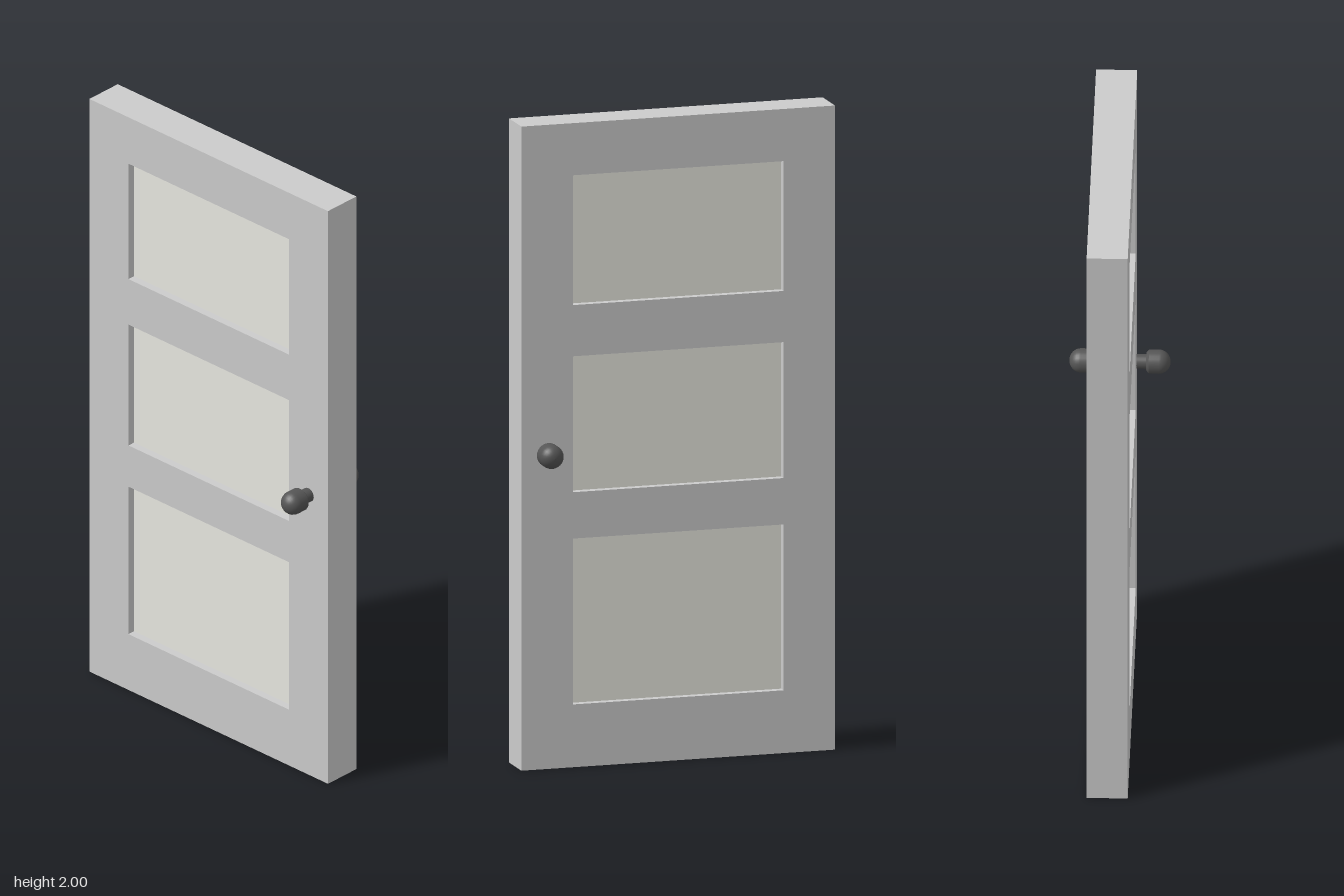
import * as THREE from 'three';

const DOOR_BACK = -0.05, DOOR_THICK = 0.125, RECESS = 0.025;
const PANEL_HALF = 0.336;
const PANELS = [[0.195, 0.71], [0.854, 1.276], [1.435, 1.838]]; // bottom, top

const material = (color) => new THREE.MeshStandardMaterial({ color });

function rectangle(PathType, x0, y0, x1, y1) {
  return new PathType([[x0, y0], [x1, y0], [x1, y1], [x0, y1]].map(p => new THREE.Vector2(...p)));
}

function addMesh(parent, name, geometry, mat) {
  const mesh = new THREE.Mesh(geometry, mat);
  mesh.name = name;
  parent.add(mesh);
  return mesh;
}

// Neck, chamfered collar and domed grip, turned about the x axis
function knobGeometry() {
  const profile = [[0, 0.04], [0.0225, 0.04], [0.0225, 0.08], [0.028, 0.08], [0.037, 0.088], [0.037, 0.119]];
  for (let i = 1; i <= 8; i++) {
    const a = (i / 8) * Math.PI / 2;
    profile.push([0.037 * Math.cos(a), 0.119 + 0.035 * Math.sin(a)]);
  }
  // Double the hard corners so the dome stays smooth and the edges sharp
  const points = [];
  profile.forEach(([r, h], i) => {
    const p = new THREE.Vector2(Math.max(r, 0), h);
    points.push(p);
    if (i > 0 && i < 5) points.push(p.clone());
  });
  return new THREE.LatheGeometry(points, 24).rotateZ(-Math.PI / 2);
}

export function createModel() {
  const door = new THREE.Group();
  door.name = 'door';
  const frameMat = material(0xcccccc), panelMat = material(0xe8e8e0), knobMat = material(0x555555);

  // Frame with three openings, extruded through its thickness
  const outline = rectangle(THREE.Shape, -0.5, 0, 0.5, 2);
  for (const [y0, y1] of PANELS) {
    outline.holes.push(rectangle(THREE.Path, -PANEL_HALF, y0, PANEL_HALF, y1));
  }
  const frame = new THREE.ExtrudeGeometry(outline, { depth: DOOR_THICK, bevelEnabled: false });
  frame.rotateY(Math.PI / 2).translate(DOOR_BACK, 0, 0);
  addMesh(door, 'frame', frame, frameMat);

  // Recessed panels
  ['bottomPanel', 'middlePanel', 'topPanel'].forEach((name, i) => {
    const [y0, y1] = PANELS[i];
    const panel = new THREE.BoxGeometry(DOOR_THICK - 2 * RECESS, y1 - y0, 2 * PANEL_HALF);
    addMesh(door, name, panel, panelMat)
      .position.set(DOOR_BACK + DOOR_THICK / 2, (y0 + y1) / 2, 0);
  });

  // One knob on each face
  for (const side of [1, -1]) {
    const knob = addMesh(door, side > 0 ? 'leftKnob' : 'rightKnob', knobGeometry(), knobMat);
    knob.position.set(0, 0.978, 0.418);
    if (side < 0) knob.rotation.y = Math.PI;
  }
  return door;
}
